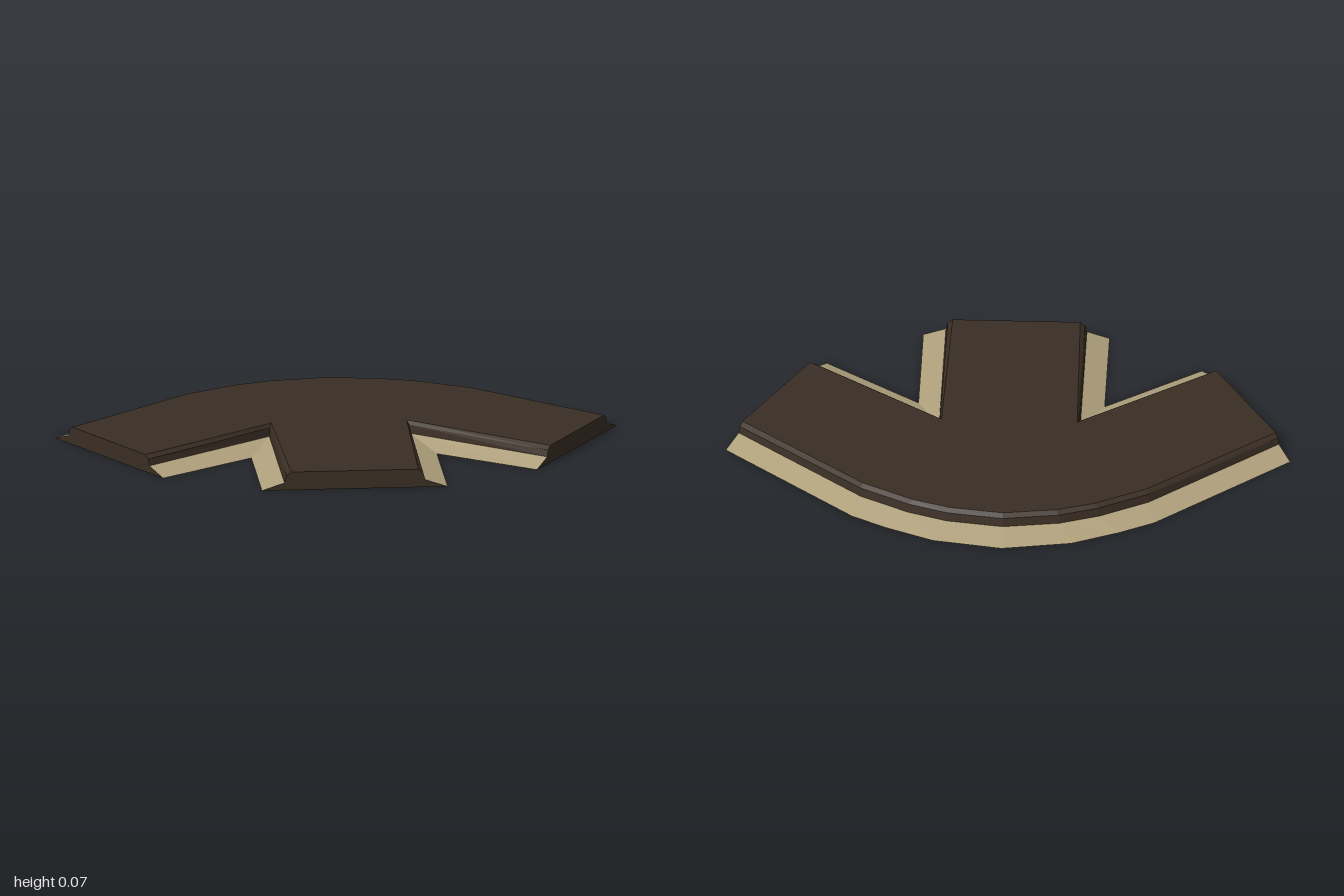
import * as THREE from 'three';

// Outline stations of the right half, from back centre round to the front arm.
// skirt = foot of the verge, edge = foot of the road wall, top = road height.
const half = [
  { skirt: [0, -0.69], edge: [0, -0.59], top: 0.07 },
  { skirt: [0.245, -0.648], edge: [0.2, -0.56], top: 0.07 },
  { skirt: [0.41, -0.573], edge: [0.34, -0.508], top: 0.07 },
  { skirt: [0.535, -0.503], edge: [0.51, -0.412], top: 0.069 },
  { skirt: [1, -0.09], edge: [0.957, -0.018], top: 0.063, end: true },
  { skirt: [0.664, 0.487], edge: [0.707, 0.415], top: 0.063, end: true },
  { skirt: [0.33, 0.242], edge: [0.25, 0.055], top: 0.07 },
  { skirt: [0.33, 0.685], edge: [0.25, 0.685], top: 0.066, end: true },
];
const mirrored = half.slice(1).reverse().map((s) => ({
  ...s, skirt: [-s.skirt[0], s.skirt[1]], edge: [-s.edge[0], s.edge[1]],
}));

// Cross-section at a station: verge foot, wall foot, shoulder, top rim
function section({ skirt, edge, top }) {
  const foot = new THREE.Vector2(...skirt);
  const wall = new THREE.Vector2(...edge);
  const inward = wall.clone().sub(foot).normalize();
  const at = (inset, y) => new THREE.Vector3(wall.x + inward.x * inset, y, wall.y + inward.y * inset);
  return [new THREE.Vector3(foot.x, 0, foot.y), at(0, 0.027), at(0.007, top - 0.013), at(0.024, top)];
}

function meshFrom(points, material, name) {
  const geometry = new THREE.BufferGeometry().setFromPoints(points);
  geometry.computeVertexNormals();
  const mesh = new THREE.Mesh(geometry, material);
  mesh.name = name;
  return mesh;
}

export function createModel() {
  const asphalt = new THREE.MeshStandardMaterial({ color: 0x3a2e24, side: THREE.DoubleSide });
  asphalt.name = 'dark road';
  const sand = new THREE.MeshStandardMaterial({ color: 0xb0a17c, side: THREE.DoubleSide });
  sand.name = 'sandy verge';

  const ring = [...half, ...mirrored];
  const sections = ring.map(section);
  const verge = [], walls = [], caps = [], surface = [];

  // Strips around the outline; the arm ends are closed with dark caps
  ring.forEach((station, i) => {
    const j = (i + 1) % ring.length;
    const isCap = station.end && ring[j].end;
    const a = sections[i], b = sections[j];
    for (let k = 0; k < 3; k++) {
      const target = isCap ? caps : k === 0 ? verge : walls;
      target.push(a[k], a[k + 1], b[k + 1], a[k], b[k + 1], b[k]);
    }
  });

  // Road surface inside the top rim
  const rim = sections.map((s) => s[3]);
  const contour = rim.map((p) => new THREE.Vector2(p.x, p.z));
  for (const [a, b, c] of THREE.ShapeUtils.triangulateShape(contour, [])) {
    const clockwise = THREE.ShapeUtils.area([contour[a], contour[b], contour[c]]) < 0;
    surface.push(rim[a], ...(clockwise ? [rim[b], rim[c]] : [rim[c], rim[b]]));
  }

  const group = new THREE.Group();
  group.name = 'roadJunction';
  group.add(
    meshFrom(surface, asphalt, 'roadSurface'),
    meshFrom(walls, asphalt, 'roadEdge'),
    meshFrom(caps, asphalt, 'armEnds'),
    meshFrom(verge, sand, 'verge'),
  );
  return group;
}
